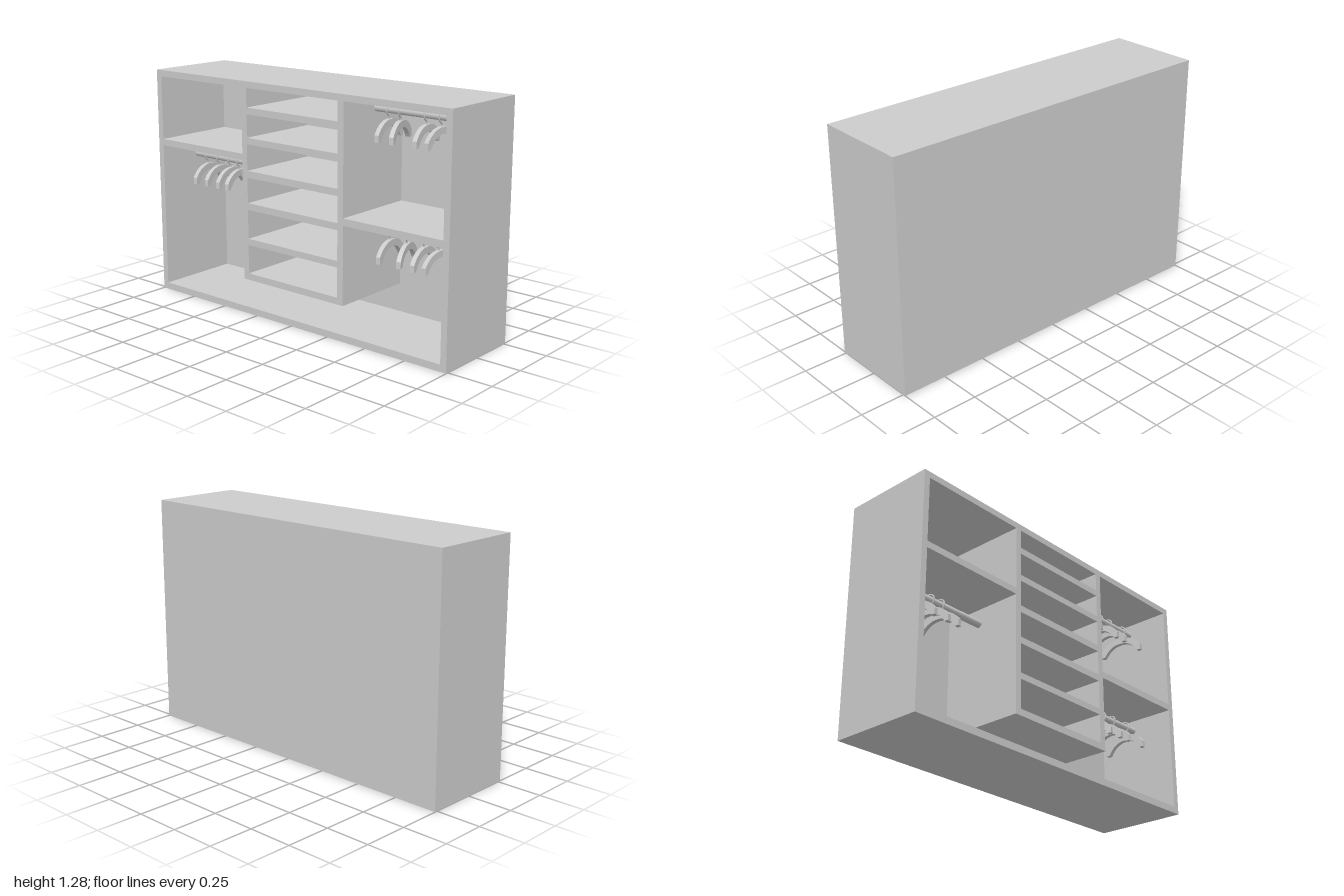
import * as THREE from 'three';

const material = new THREE.MeshStandardMaterial({ color: 0xcccccc });
const FRONT = 0.265, INNER_BACK = -0.22;

function addMesh(parent, name, geometry) {
  const mesh = new THREE.Mesh(geometry, material);
  mesh.name = name;
  parent.add(mesh);
  return mesh;
}

// Board given by its left/right, bottom/top and back/front limits
function board(parent, name, x0, x1, y0, y1, z0 = INNER_BACK, z1 = FRONT) {
  const mesh = addMesh(parent, name, new THREE.BoxGeometry(x1 - x0, y1 - y0, z1 - z0));
  mesh.position.set((x0 + x1) / 2, (y0 + y1) / 2, (z0 + z1) / 2);
}

// Curved hanger body: an arch drawn across the rod, with blunt tips
function hangerBodyGeometry() {
  const shape = new THREE.Shape();
  shape.moveTo(-0.13, -0.152);
  shape.lineTo(-0.13, -0.115);
  shape.quadraticCurveTo(-0.085, -0.05, 0, -0.05);
  shape.quadraticCurveTo(0.085, -0.05, 0.13, -0.115);
  shape.lineTo(0.13, -0.152);
  shape.lineTo(0.108, -0.152);
  shape.quadraticCurveTo(0.07, -0.085, 0, -0.085);
  shape.quadraticCurveTo(-0.07, -0.085, -0.108, -0.152);
  const geometry = new THREE.ExtrudeGeometry(shape, { depth: 0.024, bevelEnabled: false, curveSegments: 8 });
  return geometry.translate(0, 0, -0.012).rotateY(-Math.PI / 2);
}

// Wire hook: loops over the rod and drops to the middle of the arch
function hangerHookGeometry() {
  const points = [];
  for (let i = 0; i <= 8; i++) {
    const a = Math.PI * (1.05 - i * 0.165);
    points.push(new THREE.Vector3(0, 0.03 * Math.sin(a), 0.03 * Math.cos(a)));
  }
  points.push(new THREE.Vector3(0, -0.035, 0.003), new THREE.Vector3(0, -0.06, 0));
  return new THREE.TubeGeometry(new THREE.CatmullRomCurve3(points), 28, 0.0045, 6);
}

export function createModel() {
  const model = new THREE.Group();
  model.name = 'wardrobe';

  // Outer carcass
  const carcass = new THREE.Shape();
  carcass.moveTo(-1, 0).lineTo(1, 0).lineTo(1, 1.285).lineTo(-1, 1.285).closePath();
  const opening = new THREE.Path();
  opening.moveTo(-0.965, 0.038).lineTo(-0.965, 1.25).lineTo(0.965, 1.25).lineTo(0.965, 0.038).closePath();
  carcass.holes.push(opening);
  const frame = new THREE.ExtrudeGeometry(carcass, { depth: 2 * FRONT, bevelEnabled: false });
  addMesh(model, 'outerFrame', frame.translate(0, 0, -FRONT));
  board(model, 'backPanel', -0.965, 0.965, 0.038, 1.25, -FRONT, INNER_BACK);

  // Central open shelving, hanging from the top
  const shelving = new THREE.Group();
  shelving.name = 'centralShelving';
  model.add(shelving);
  board(shelving, 'leftDivider', -0.34, -0.305, 0.195, 1.25);
  board(shelving, 'rightDivider', 0.32, 0.357, 0.195, 1.25);
  const shelves = [[0.195, 0.232], [0.393, 0.428], [0.59, 0.627], [0.767, 0.805], [0.949, 0.984], [1.11, 1.146]];
  for (const [y0, y1] of shelves) board(shelving, 'centralShelf', -0.305, 0.32, y0, y1);

  // Side shelves
  board(model, 'lowSideShelf', 0.357, 0.965, 0.62, 0.658);
  board(model, 'highSideShelf', -0.965, -0.34, 0.857, 0.893);

  // Rods with hangers: [x, turn about the hook]
  const rods = [
    { x0: -0.965, x1: -0.34, y: 0.774, hangers: [[-0.877, 0.16], [-0.786, 0.16], [-0.695, 0.16], [-0.624, 0.16]] },
    { x0: 0.357, x1: 0.965, y: 1.187, hangers: [[0.436, 0.16], [0.508, 0.29], [0.668, 0.16], [0.759, 0], [0.888, 0.16]] },
    { x0: 0.357, x1: 0.965, y: 0.56, hangers: [[0.455, 0.16], [0.562, 0.31], [0.668, 0.16], [0.759, 0], [0.888, 0]] },
  ];
  const body = hangerBodyGeometry();
  const hook = hangerHookGeometry();
  for (const { x0, x1, y, hangers } of rods) {
    const rod = addMesh(model, 'hangingRod', new THREE.CylinderGeometry(0.021, 0.021, x1 - x0, 16));
    rod.rotation.z = Math.PI / 2;
    rod.position.set((x0 + x1) / 2, y, 0);
    for (const [x, turn] of hangers) {
      const hanger = new THREE.Group();
      hanger.name = 'hanger';
      addMesh(hanger, 'hangerBody', body);
      addMesh(hanger, 'hangerHook', hook);
      hanger.position.set(x, y, 0);
      hanger.rotation.y = turn;
      model.add(hanger);
    }
  }
  return model;
}
